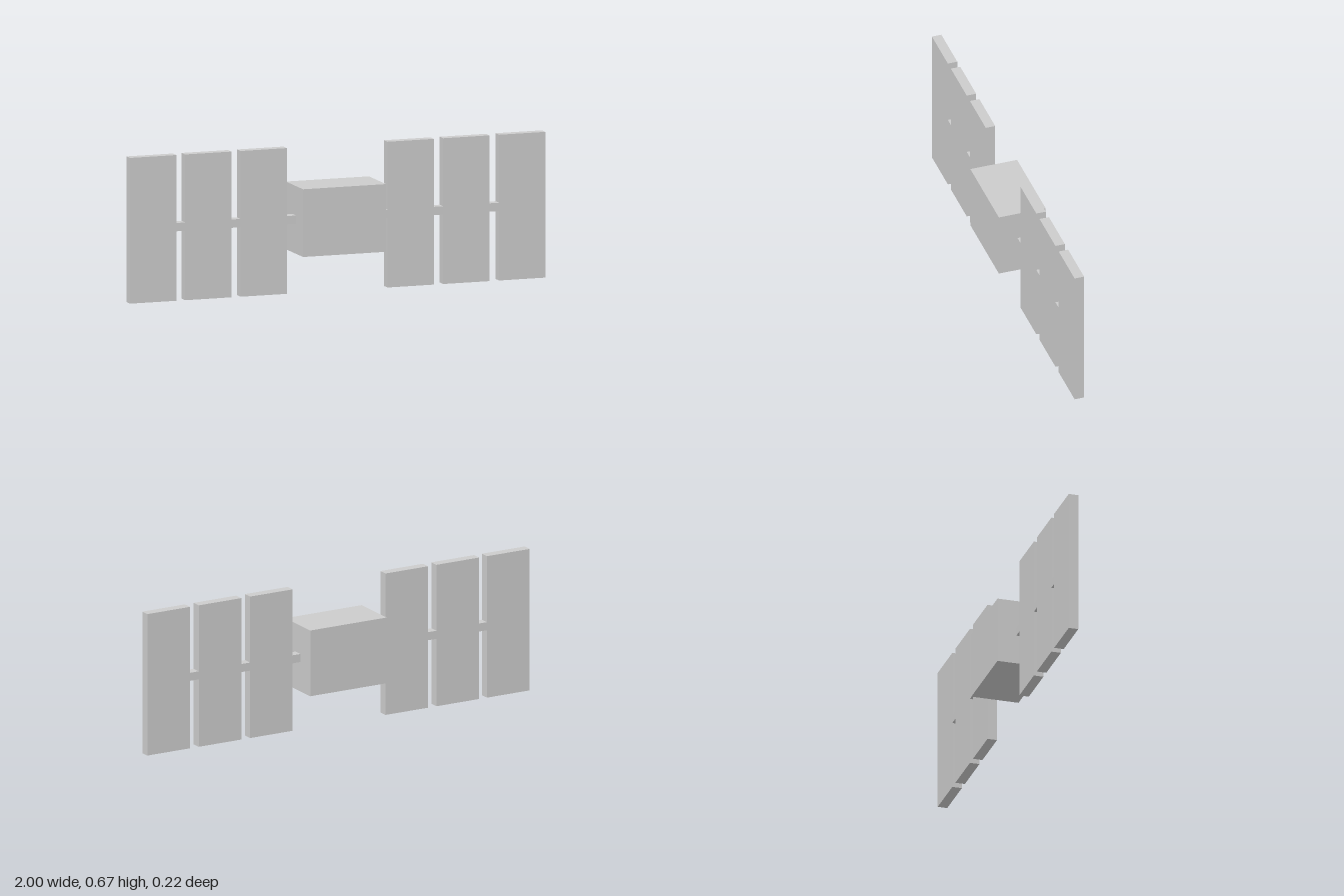
import * as THREE from 'three';

const material = new THREE.MeshStandardMaterial({ color: 0xcccccc, flatShading: true });

// Box spanning x0..x1, y0..y1 and centred on z = 0
function block(name, x0, x1, y0, y1, depth) {
  const mesh = new THREE.Mesh(new THREE.BoxGeometry(x1 - x0, y1 - y0, depth), material);
  mesh.name = name;
  mesh.position.set((x0 + x1) / 2, (y0 + y1) / 2, 0);
  return mesh;
}

export function createModel() {
  const model = new THREE.Group();
  model.name = 'satellite';
  const thickness = 0.045;

  // Central body
  model.add(block('body', -0.2, 0.2, 0.18, 0.49, 0.223));

  // Each wing: three upright panels joined by short struts
  const wings = [
    { name: 'leftWing', side: 1, starts: [0.24, 0.508, 0.777] },
    { name: 'rightWing', side: -1, starts: [0.245, 0.512, 0.777] },
  ];
  for (const { name, side, starts } of wings) {
    const wing = new THREE.Group();
    wing.name = name;
    let inner = 0.2;
    for (const start of starts) {
      const end = start + 0.223;
      const span = (a, b) => (side > 0 ? [a, b] : [-b, -a]);
      wing.add(block('strut', ...span(inner, start), 0.318, 0.356, thickness));
      wing.add(block('solarPanel', ...span(start, end), 0, 0.667, thickness));
      inner = end;
    }
    model.add(wing);
  }
  return model;
}
